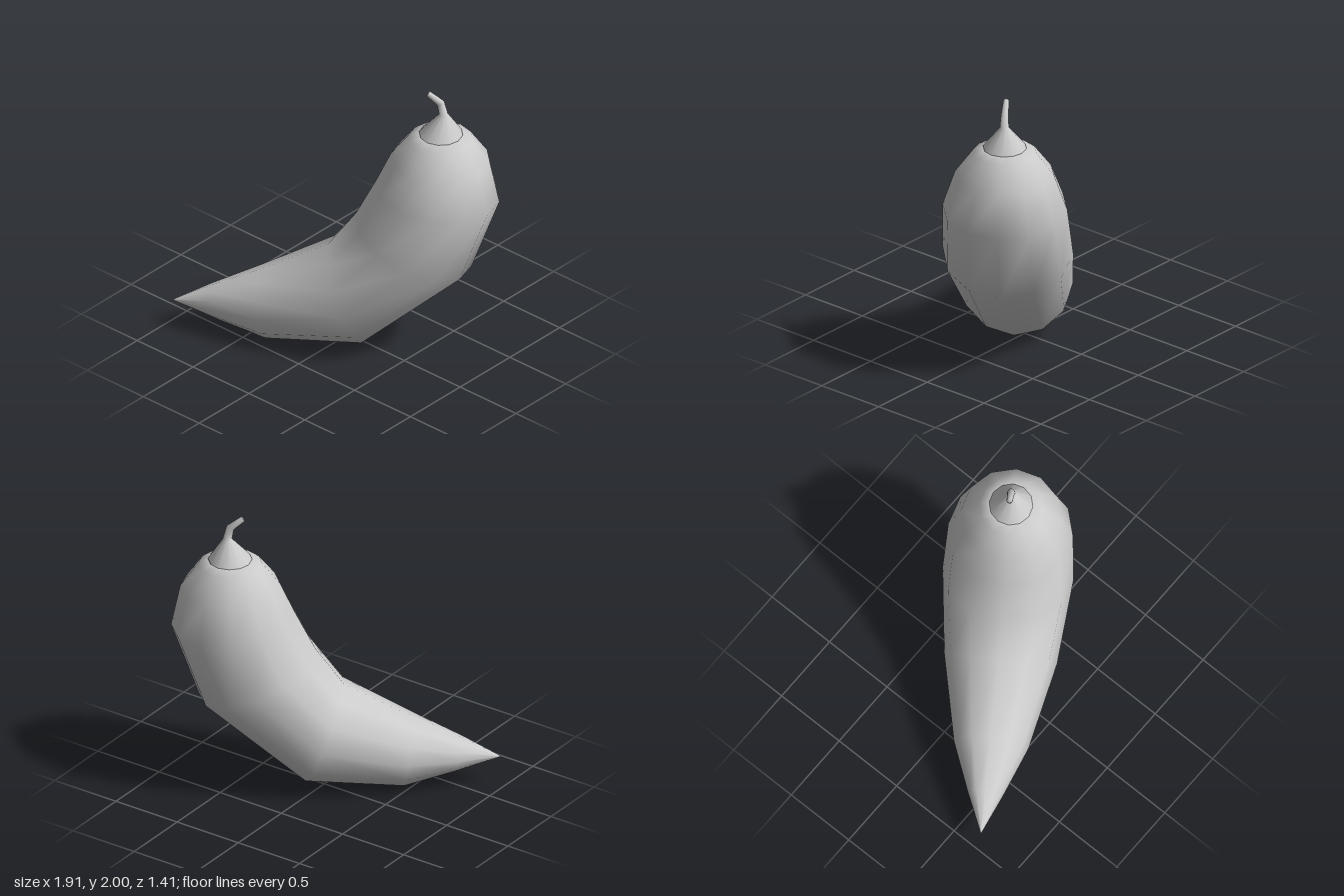
import * as THREE from 'three';

// The pepper bends in one upright plane: U runs along it, N across it.
const U = new THREE.Vector3(0.835, 0, -0.551);
const N = new THREE.Vector3(0.551, 0, 0.835);
const OFFSET = 0.055;
const SIDES = 12;

// Skin over tilted elliptical rings, listed from top to bottom.
// Each ring: [outer s, outer y, inner s, inner y, half width across].
function loft(name, rings) {
  const pos = [], idx = [];
  for (const [so, yo, si, yi, w] of rings) {
    for (let j = 0; j < SIDES; j++) {
      const a = (j / SIDES) * Math.PI * 2, c = Math.cos(a) / 2;
      const s = (so + si) / 2 + (so - si) * c;
      const y = (yo + yi) / 2 + (yo - yi) * c;
      const n = OFFSET + w * Math.sin(a);
      pos.push(U.x * s + N.x * n, y, U.z * s + N.z * n);
    }
  }
  const last = rings.length - 1;
  for (let i = 0; i < last; i++) {
    for (let j = 0; j < SIDES; j++) {
      const k = (j + 1) % SIDES, p = i * SIDES, q = p + SIDES;
      idx.push(p + j, p + k, q + k, p + j, q + k, q + j);
    }
  }
  // close both ends with fans
  for (const [i, top] of [[0, true], [last, false]]) {
    const [so, yo, si, yi] = rings[i];
    const s = (so + si) / 2, centre = pos.length / 3;
    pos.push(U.x * s + N.x * OFFSET, (yo + yi) / 2, U.z * s + N.z * OFFSET);
    for (let j = 0; j < SIDES; j++) {
      const a = i * SIDES + j, b = i * SIDES + ((j + 1) % SIDES);
      idx.push(centre, top ? b : a, top ? a : b);
    }
  }
  const geo = new THREE.BufferGeometry();
  geo.setAttribute('position', new THREE.Float32BufferAttribute(pos, 3));
  geo.setIndex(idx);
  geo.computeVertexNormals();
  const mesh = new THREE.Mesh(geo, new THREE.MeshStandardMaterial({ color: 0xcccccc }));
  mesh.name = name;
  return mesh;
}

export function createModel() {
  const model = new THREE.Group();
  model.name = 'chiliPepper';

  // Curved fruit, from the shoulders down to the pointed tip
  model.add(loft('fruit', [
    [0.77, 1.675, 0.49, 1.675, 0.14],
    [0.845, 1.645, 0.415, 1.645, 0.215],
    [0.965, 1.47, 0.295, 1.49, 0.335],
    [1.027, 1.175, 0.2, 1.28, 0.42],
    [0.84, 0.65, 0.06, 1.0, 0.44],
    [0.14, 0.05, -0.13, 0.735, 0.38],
    [-0.53, 0.002, -0.6, 0.49, 0.25],
    [-0.87, 0.1, -0.93, 0.335, 0.12],
    [-1.178, 0.199, -1.179, 0.203, 0.002],
  ]));

  // Flared cap running up into the crooked stem
  model.add(loft('capAndStem', [
    [0.557, 2.0, 0.533, 1.968, 0.02],
    [0.655, 1.93, 0.605, 1.905, 0.025],
    [0.682, 1.83, 0.62, 1.83, 0.031],
    [0.78, 1.68, 0.485, 1.68, 0.147],
    [0.775, 1.66, 0.49, 1.66, 0.142],
  ]));

  return model;
}
